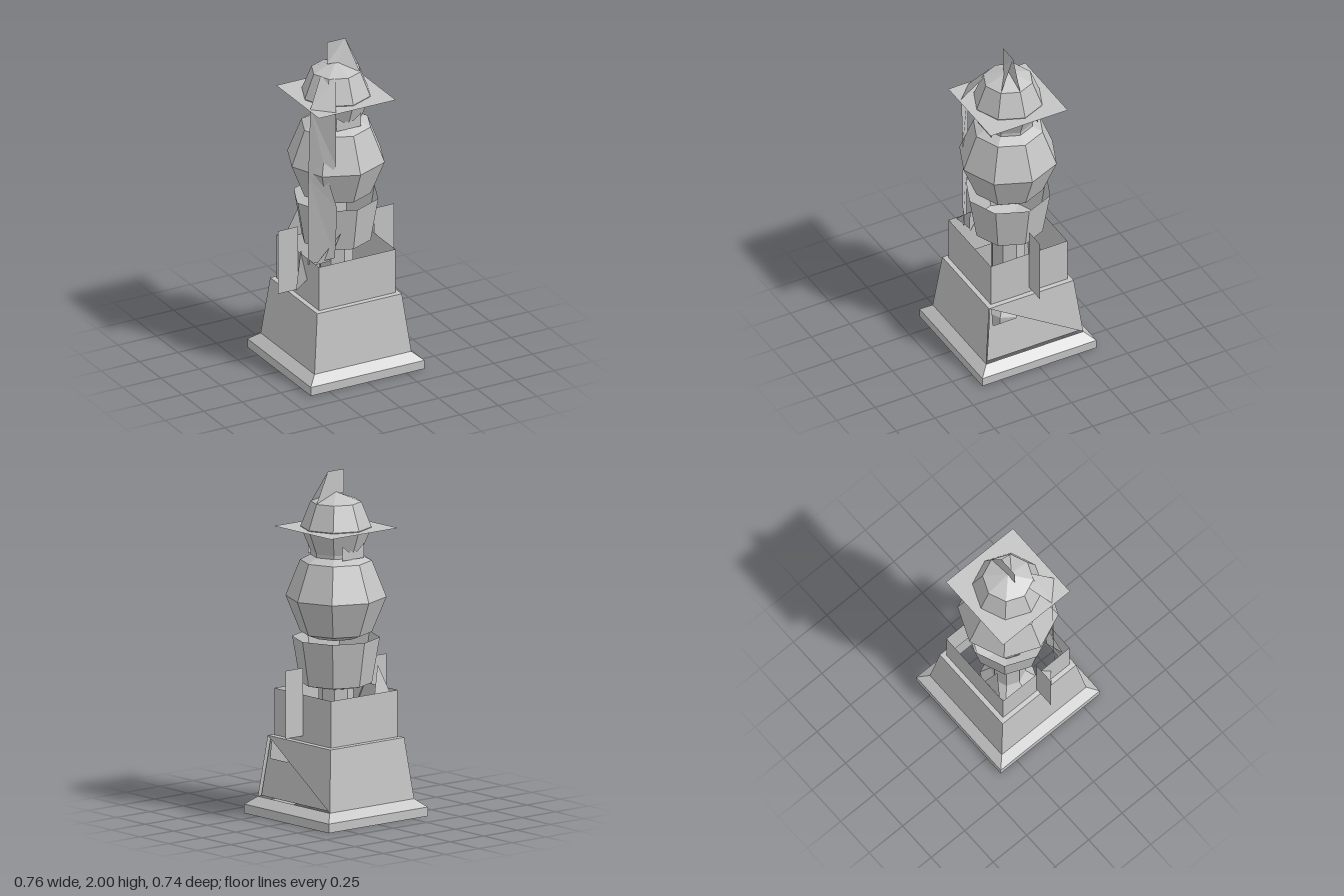
import * as THREE from 'three';

const stone = new THREE.MeshStandardMaterial({ color: 0xc4c4c4, flatShading: true, side: THREE.DoubleSide });
stone.name = 'grey stone';

// Fan of triangles for each flat polygon given by its corners
function plates(name, ...polygons) {
  const pos = [];
  for (const p of polygons)
    for (let i = 1; i < p.length - 1; i++) pos.push(...p[0], ...p[i], ...p[i + 1]);
  const geo = new THREE.BufferGeometry();
  geo.setAttribute('position', new THREE.Float32BufferAttribute(pos, 3));
  geo.computeVertexNormals();
  const mesh = new THREE.Mesh(geo, stone);
  mesh.name = name;
  return mesh;
}

// Turned part with flat sides; profile is [radius, height] pairs
function turned(name, profile, sides = 8) {
  const square = sides === 4;
  const pts = profile.map(([r, y]) => new THREE.Vector2(square ? r * Math.SQRT2 : r, y));
  const geo = new THREE.LatheGeometry(pts, sides, square ? Math.PI / 4 : 0).toNonIndexed();
  geo.computeVertexNormals();
  const mesh = new THREE.Mesh(geo, stone);
  mesh.name = name;
  return mesh;
}

export function createModel() {
  const g = new THREE.Group();
  g.name = 'monument';

  // Stepped base, hollow underneath
  g.add(turned('plinth', [[0.37, 0], [0.37, 0.053], [0.315, 0.1]], 4));

  // Tapered pedestal: three whole walls, one wall with its lower half missing
  const a = 0.315, b = 0.275, y0 = 0.1, y1 = 0.455;
  g.add(plates('pedestal',
    [[-a, y0, a], [a, y0, a], [b, y1, b], [-b, y1, b]],
    [[a, y0, -a], [-a, y0, -a], [-b, y1, -b], [b, y1, -b]],
    [[-a, y0, -a], [-a, y0, a], [-b, y1, b], [-b, y1, -b]],
    [[a, y0, -a], [b, y1, -b], [b, y1, b]]));
  g.add(turned('pedestalRim', [[0.275, 0.455], [0.248, 0.458]], 4));

  // Inner lining behind the broken wall, with a square opening in its top corner
  const at = (y, z) => [0.3 - (y - 0.105) * 0.11, y, z];
  g.add(plates('innerWall',
    [at(0.105, 0.302), at(0.105, -0.302), at(0.325, -0.276), at(0.325, 0.276)],
    [at(0.325, 0.1), at(0.325, -0.276), at(0.455, -0.26), at(0.455, 0.1)],
    [at(0.325, 0.276), at(0.325, 0.25), at(0.455, 0.25), at(0.455, 0.262)]));

  // Open box standing on the pedestal
  g.add(turned('boxWalls', [[0.248, 0.455], [0.248, 0.73]], 4));

  // Side fins
  for (const s of [-1, 1])
    g.add(plates(s > 0 ? 'leftFin' : 'rightFin',
      [[s * 0.248, 0.49, 0], [s * 0.378, 0.49, 0], [s * 0.378, 0.885, 0], [s * 0.248, 0.885, 0]]));

  // Stacked figure on a hidden column
  g.add(turned('column', [[0, 0.14], [0.16, 0.14], [0.16, 0.22], [0.1, 0.3], [0.1, 0.76]]));
  g.add(turned('skirt', [[0.1, 0.745], [0.205, 0.77], [0.25, 1.035]]));
  g.add(turned('body', [[0, 1.035], [0.13, 1.035], [0.205, 1.065], [0.288, 1.27], [0.205, 1.48], [0.145, 1.51], [0, 1.51]]));
  g.add(turned('neck', [[0.145, 1.51], [0.145, 1.53]]));
  g.add(turned('head', [[0, 1.53], [0.145, 1.53], [0.203, 1.675], [0.145, 1.82], [0, 1.875]]));
  g.add(plates('hatBrim', [[-0.25, 1.67, 0.25], [0.25, 1.67, 0.25], [0.25, 1.67, -0.25], [-0.25, 1.67, -0.25]]));

  // Notched collars, front and back
  for (const z of [0.15, -0.15])
    g.add(plates(z > 0 ? 'frontCollar' : 'backCollar',
      [[0, 1.505, z], [0.08, 1.505, z], [0.08, 1.59, z], [0.03, 1.55, z],
        [0, 1.56, z], [-0.03, 1.55, z], [-0.08, 1.59, z], [-0.08, 1.505, z]]));

  // Plume on the hat, with one folded face
  const tip = [0.06, 2, 0], root = [-0.06, 1.865, 0];
  g.add(plates('plume',
    [root, [0.145, 1.82, 0], tip, [-0.06, 2, 0]],
    [tip, root, [0, 1.87, 0.025], [0.1, 1.82, 0.1]]));

  // Long ribbon: sloping top, hanging strip and pointed end
  const p1 = [-0.237, 1.67, 0.125], p2 = [-0.13, 1.67, 0.232];
  g.add(plates('ribbon',
    [p1, p2, [-0.07, 1.82, 0.12], [-0.13, 1.82, 0.05]],
    [p1, p2, [-0.125, 1.33, 0.225], [-0.165, 1.25, 0.2], [-0.25, 1.25, 0.125]],
    [[-0.25, 1.25, 0.125], [-0.165, 1.25, 0.2], [-0.12, 1.06, 0.23], [-0.13, 0.75, 0.22], [-0.255, 0.7, 0.13]],
    [[-0.08, 0.885, 0.2], [-0.245, 0.725, 0.2], [-0.14, 0.71, 0.17]],
    [[-0.245, 0.75, 0.03], [-0.3, 0.52, 0.07], [-0.245, 0.6, 0.11]]));

  // Pointed flap rising from the back of the box
  g.add(plates('backFlap', [[-0.14, 0.885, -0.2], [-0.21, 0.7, -0.24], [-0.08, 0.7, -0.24]]));

  return g;
}
